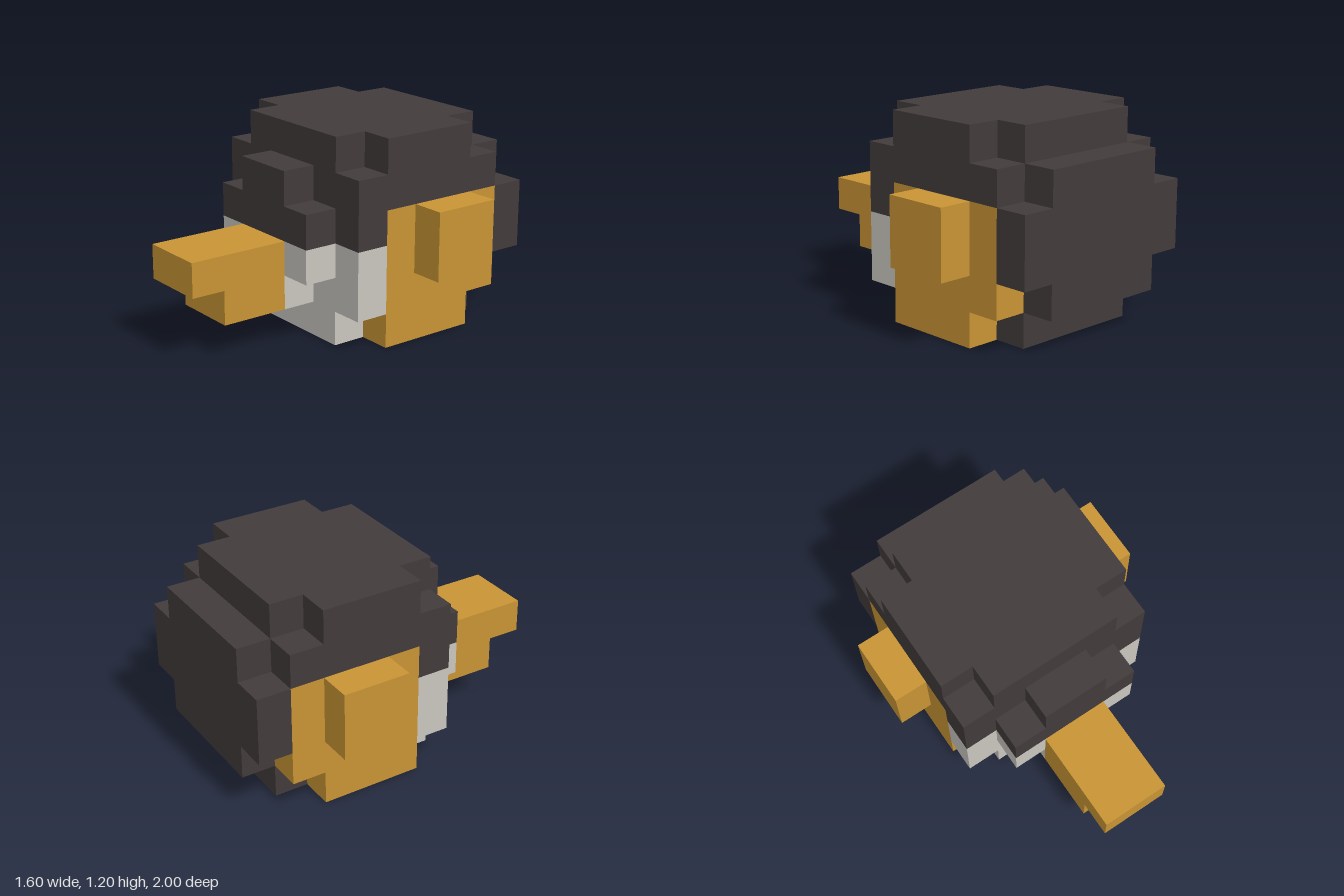
import * as THREE from 'three';

const U = 0.2; // edge of one block

export function createModel() {
  const model = new THREE.Group();
  model.name = 'blockBirdHead';

  const material = (name, color) => {
    const m = new THREE.MeshStandardMaterial({ color });
    m.name = name;
    return m;
  };
  const dark = material('charcoal', 0x423b3b);
  const gold = material('ochre', 0xc89435);
  const pale = material('paleGrey', 0xc9c6bf);

  // Box given by its [min, max] ranges, counted in blocks
  const block = (name, mat, [x0, x1], [y0, y1], [z0, z1]) => {
    const geometry = new THREE.BoxGeometry((x1 - x0) * U, (y1 - y0) * U, (z1 - z0) * U);
    const mesh = new THREE.Mesh(geometry, mat);
    mesh.name = name;
    mesh.position.set((x0 + x1) * U / 2, (y0 + y1) * U / 2, (z0 + z1) * U / 2);
    model.add(mesh);
  };
  // Box centred on x = 0
  const centred = (name, mat, halfWidth, y, z) => block(name, mat, [-halfWidth, halfWidth], y, z);
  // Mirrored pair of boxes
  const pair = (name, mat, [x0, x1], y, z) => {
    block(name + 'Left', mat, [x0, x1], y, z);
    block(name + 'Right', mat, [-x1, -x0], y, z);
  };

  // Crown with notched corners
  centred('crown', dark, 3, [5, 6], [-3, 0]);
  centred('crownFront', dark, 2, [5, 6], [0, 1]);
  centred('crownBack', dark, 2, [5, 6], [-4, -3]);

  // Main head
  centred('upperHead', dark, 3, [4, 5], [-4, 1]);
  centred('brow', dark, 3, [3, 4], [0, 1]);
  centred('headCore', dark, 2, [1, 4], [-4, 0]);
  centred('cheekBand', pale, 3, [1, 3], [0, 1]);
  centred('chin', pale, 2, [0, 1], [-1, 1]);
  centred('headBase', dark, 2, [0, 1], [-4, -1]);

  // Stepped bulge at the back
  centred('backTop', dark, 2, [4, 5], [-5, -4]);
  centred('backMiddle', dark, 3, [2, 4], [-5, -4]);
  centred('backBottom', dark, 2, [1, 2], [-5, -4]);

  // Stepped bulge on the face
  centred('foreheadPeak', dark, 1, [4, 5], [1, 2]);
  centred('forehead', dark, 2, [3, 4], [1, 2]);
  centred('muzzle', pale, 2, [2, 3], [1, 2]);
  centred('muzzleBottom', pale, 1, [1, 2], [1, 2]);

  // Beak
  centred('upperBeak', gold, 1, [2, 3], [2, 5]);
  centred('lowerBeak', gold, 1, [1, 2], [2, 4]);

  // Sides
  pair('sidePatch', gold, [2, 3], [1, 4], [-4, 0]);
  pair('sidePatchBase', gold, [2, 3], [0, 1], [-3, 0]);
  pair('ear', gold, [3, 4], [2, 4], [-3, -1]);

  return model;
}
